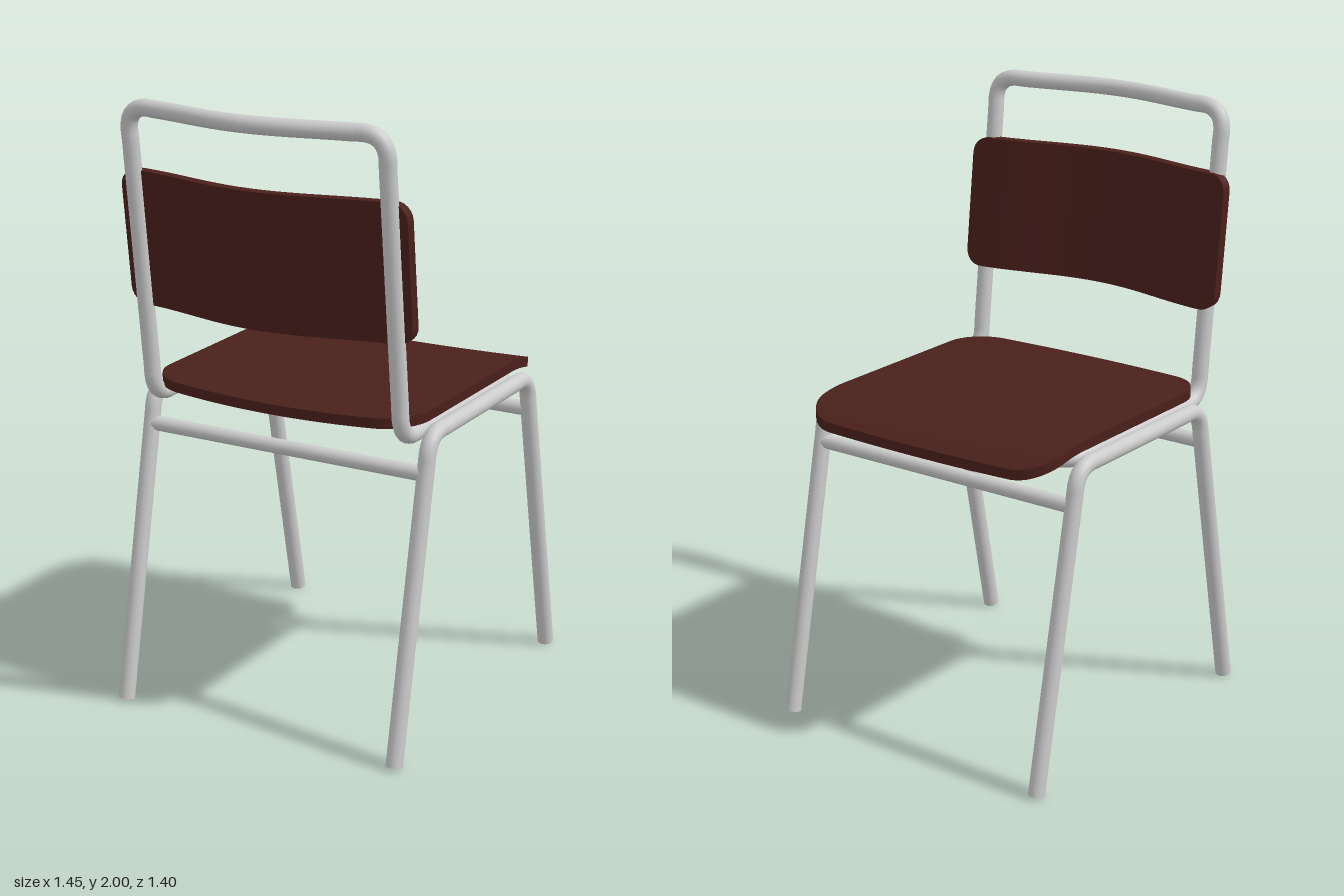
import * as THREE from 'three';
import { toCreasedNormals } from 'three/addons/utils/BufferGeometryUtils.js';

// The chair is built facing +x (z across), then turned about y.
const R = 0.027;
const metal = new THREE.MeshStandardMaterial({ color: 0xcccccc });
const wood = new THREE.MeshStandardMaterial({ color: 0x4a201b });
const V = (x, y, z) => new THREE.Vector3(x, y, z);

// Dense points along a polyline whose corners are rounded by r
function roundedPath(corners, r, closed) {
  const n = corners.length, pts = [];
  const runs = corners.map((c, i) => {
    if (!closed && (i === 0 || i === n - 1)) return [c];
    const prev = corners[(i + n - 1) % n], next = corners[(i + 1) % n];
    const a = c.clone().add(prev.clone().sub(c).setLength(r));
    const b = c.clone().add(next.clone().sub(c).setLength(r));
    const mid = a.clone().add(b).multiplyScalar(0.5).lerp(c, 0.62);
    const ctrl = mid.multiplyScalar(2).sub(a.clone().add(b).multiplyScalar(0.5));
    return new THREE.QuadraticBezierCurve3(a, ctrl, b).getPoints(8);
  });
  runs.forEach((run, i) => {
    pts.push(...run);
    if (!closed && i === n - 1) return;
    const a = run[run.length - 1], b = runs[(i + 1) % n][0];
    const steps = Math.ceil(a.distanceTo(b) / 0.05);
    for (let k = 1; k < steps; k++) pts.push(a.clone().lerp(b, k / steps));
  });
  return pts;
}

function tube(name, pts, closed, segments) {
  const curve = new THREE.CatmullRomCurve3(pts, closed, 'centripetal');
  curve.arcLengthDivisions = 800;
  const part = new THREE.Group();
  part.name = name;
  part.add(new THREE.Mesh(new THREE.TubeGeometry(curve, segments, R, 16, closed), metal));
  part.children[0].name = name + 'Tube';
  // flat discs over open ends
  if (!closed) for (const t of [0, 1]) {
    const cap = new THREE.Mesh(new THREE.CircleGeometry(R, 16), metal);
    cap.name = 'footEnd';
    const out = curve.getTangentAt(t).multiplyScalar(t ? 1 : -1);
    cap.quaternion.setFromUnitVectors(V(0, 0, 1), out);
    cap.position.copy(curve.getPointAt(t));
    part.add(cap);
  }
  return part;
}

// Curved panel: q runs across (+-W), p runs lo(q)..hi(q) with round corners r;
// place(p, q, side) gives the surface point, side 1 = face, 0 = back
function panel(name, W, r, lo, hi, place) {
  const n = 36, m = 28, pos = [], idx = [];
  for (const side of [1, 0]) for (let j = 0; j <= n; j++) {
    const q = W * Math.sin((Math.PI / 2) * (2 * j / n - 1));
    const d = Math.max(0, Math.abs(q) - (W - r));
    const inset = r - Math.sqrt(Math.max(0, r * r - d * d));
    for (let i = 0; i <= m; i++) {
      const p = THREE.MathUtils.lerp(lo(q) + inset, hi(q) - inset, i / m);
      pos.push(...place(p, q, side));
    }
  }
  const row = m + 1, off = row * (n + 1);
  for (let j = 0; j < n; j++) for (let i = 0; i < m; i++) {
    const a = j * row + i, b = a + row, c = b + 1, d = a + 1;
    idx.push(a, b, c, a, c, d);
    idx.push(a + off, c + off, b + off, a + off, d + off, c + off);
  }
  // rim wall around the border
  const rim = [];
  for (let j = 0; j < n; j++) rim.push(j * row);
  for (let i = 0; i < m; i++) rim.push(n * row + i);
  for (let j = n; j > 0; j--) rim.push(j * row + m);
  for (let i = m; i > 0; i--) rim.push(i);
  rim.forEach((a, k) => {
    const b = rim[(k + 1) % rim.length];
    idx.push(a, a + off, b + off, a, b + off, b);
  });
  const g = new THREE.BufferGeometry();
  g.setAttribute('position', new THREE.Float32BufferAttribute(pos, 3));
  g.setIndex(idx);
  const mesh = new THREE.Mesh(toCreasedNormals(g, 0.7), wood);
  mesh.name = name;
  return mesh;
}

export function createModel() {
  const chair = new THREE.Group();
  chair.name = 'chair';

  // Leg frames: one bent tube per side
  for (const s of [1, -1]) {
    const z = 0.5 * s;
    const corners = [V(-0.55, 0.005, z), V(-0.34, 1.022, z), V(0.34, 1.022, z), V(0.55, 0.005, z)];
    chair.add(tube(s > 0 ? 'rightLegFrame' : 'leftLegFrame', roundedPath(corners, 0.085, false), false, 130));
  }

  // Stretchers between the legs, front and back
  for (const s of [1, -1]) {
    const bar = new THREE.Mesh(new THREE.CylinderGeometry(0.024, 0.024, 1, 16), metal);
    bar.name = s > 0 ? 'frontStretcher' : 'backStretcher';
    bar.rotation.x = Math.PI / 2;
    bar.position.set(0.364 * s, 0.905, 0);
    chair.add(bar);
  }

  // Seat rails and back hoop: one closed loop, its top bowed backwards
  const w = 0.447;
  const loop = roundedPath([
    V(0.31, 1.022, w), V(-0.42, 1.022, w), V(-0.527, 1.973, w),
    V(-0.527, 1.973, -w), V(-0.42, 1.022, -w), V(0.31, 1.022, -w),
  ], 0.1, true);
  for (const p of loop) if (p.y > 1.5) p.x -= 0.0325 * (1 + Math.cos(Math.PI * p.z / w));
  chair.add(tube('seatAndBackFrame', loop, true, 300));

  // Seat: slightly dished, back edge bowed, front edge rolled down
  chair.add(panel('seat', 0.475, 0.12,
    q => -0.457 + 0.2 * q * q, () => 0.495,
    (p, q, side) => {
      const f = Math.max(0, (p - 0.28) / 0.215);
      const top = 1.085 - 0.01 * (1 - (q / 0.475) ** 2) - 0.048 * f * f;
      return [p, top - (side ? 0 : 0.033), q];
    }));

  // Backrest: leans with the hoop and bows backwards
  chair.add(panel('backrest', 0.5, 0.055, () => 1.33, () => 1.77,
    (p, q, side) => {
      const x = -0.43 - 0.112 * (p - 1.1) - 0.04 * (1 + Math.cos(Math.PI * q / 0.5));
      return [x + (side ? 0.043 : 0.006), p, -q];
    }));

  chair.rotation.y = 0.391;
  const model = new THREE.Group();
  model.name = 'model';
  model.add(chair);
  return model;
}
